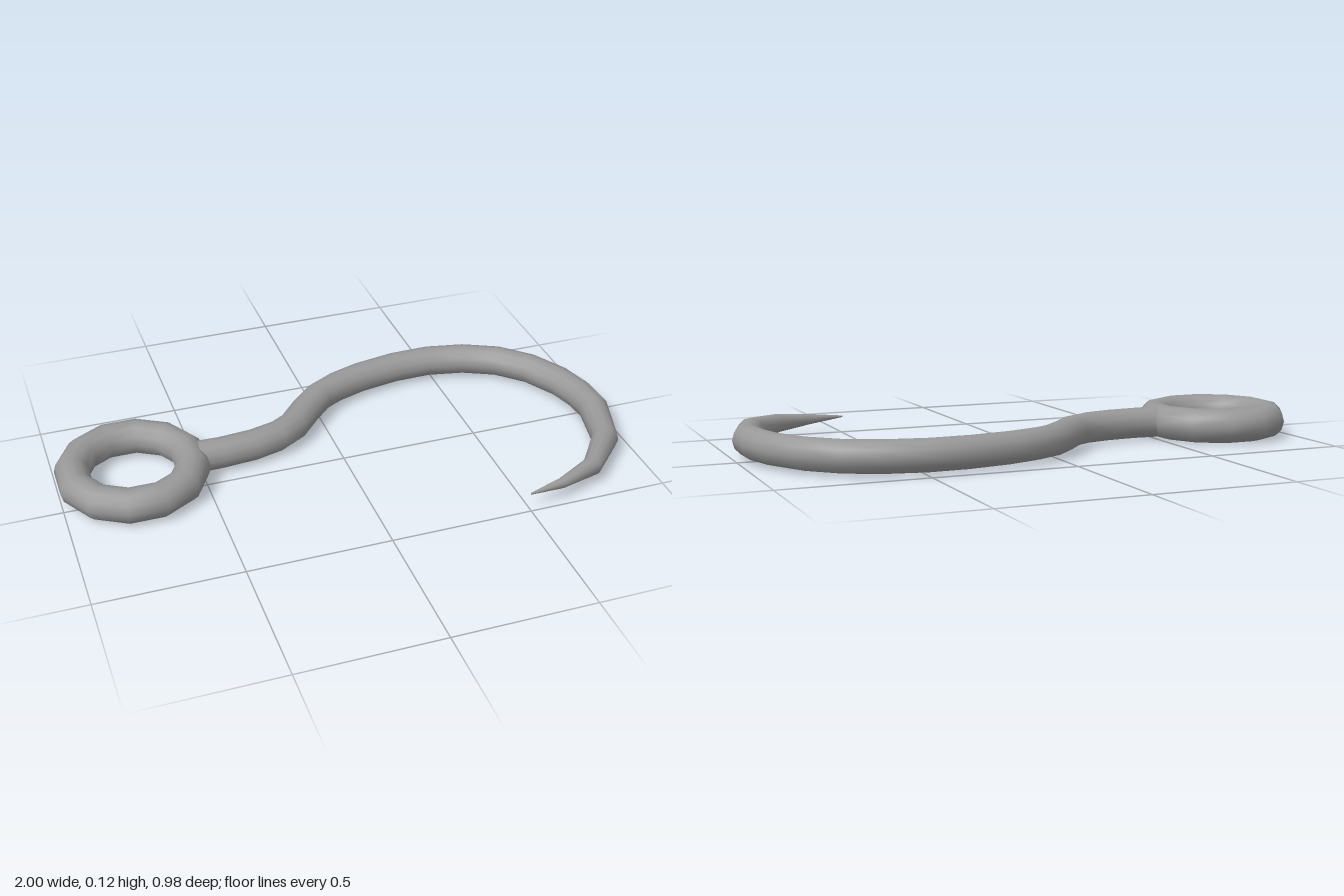
import * as THREE from 'three';

const material = new THREE.MeshStandardMaterial({ color: 0x999999 });
const MID = 0.0625; // height of the centre plane

// Round bar swept through [x, z, radius] stations lying in the centre plane
function sweptBar(stations, sides) {
  const pos = [], idx = [];
  const n = stations.length;
  stations.forEach(([x, z, r], i) => {
    const a = stations[Math.max(i - 1, 0)], b = stations[Math.min(i + 1, n - 1)];
    const len = Math.hypot(b[0] - a[0], b[1] - a[1]);
    const tx = (b[0] - a[0]) / len, tz = (b[1] - a[1]) / len;
    for (let j = 0; j < sides; j++) {
      const t = (j / sides) * Math.PI * 2;
      const side = r * Math.cos(t);
      pos.push(x - tz * side, MID + r * Math.sin(t), z + tx * side);
    }
  });
  for (let i = 0; i < n - 1; i++) {
    for (let j = 0; j < sides; j++) {
      const k = (j + 1) % sides;
      const a = i * sides + j, b = i * sides + k, c = a + sides, d = b + sides;
      idx.push(a, c, b, b, c, d);
    }
  }
  // Flat cap on the thick end, with its own vertices for a sharp rim
  const base = pos.length / 3;
  for (let j = 0; j < sides * 3; j++) pos.push(pos[j]);
  for (let j = 1; j < sides - 1; j++) idx.push(base, base + j, base + j + 1);

  const geo = new THREE.BufferGeometry();
  geo.setAttribute('position', new THREE.Float32BufferAttribute(pos, 3));
  geo.setIndex(idx);
  geo.computeVertexNormals();
  return geo;
}

export function createModel() {
  const group = new THREE.Group();
  group.name = 'hook';

  // Eye ring, lying flat, with a flat facet towards the shank
  const ringGeo = new THREE.TorusGeometry(0.209, 0.061, 12, 12);
  ringGeo.rotateZ(Math.PI / 12).rotateX(-Math.PI / 2);
  const ring = new THREE.Mesh(ringGeo, material);
  ring.name = 'eyeRing';
  ring.position.set(-0.74, MID, -0.088);
  group.add(ring);

  // Shank and bend, tapering to the point
  const stations = [
    [-0.505, -0.09, 0.056], [-0.42, -0.09, 0.055], [-0.305, -0.1, 0.055],
    [-0.21, -0.125, 0.055], [-0.135, -0.17, 0.055], [-0.065, -0.25, 0.055],
    [0.01, -0.325, 0.055], [0.095, -0.372, 0.055], [0.2, -0.408, 0.055],
    [0.35, -0.435, 0.055], [0.49, -0.438, 0.055], [0.625, -0.41, 0.055],
    [0.745, -0.352, 0.055], [0.84, -0.26, 0.055], [0.908, -0.137, 0.055],
    [0.937, -0.03, 0.055], [0.943, 0.075, 0.054], [0.892, 0.265, 0.047],
    [0.77, 0.405, 0.034], [0.63, 0.461, 0.019], [0.5, 0.485, 0.003],
  ];
  const bar = new THREE.Mesh(sweptBar(stations, 12), material);
  bar.name = 'shankAndBend';
  group.add(bar);

  return group;
}
